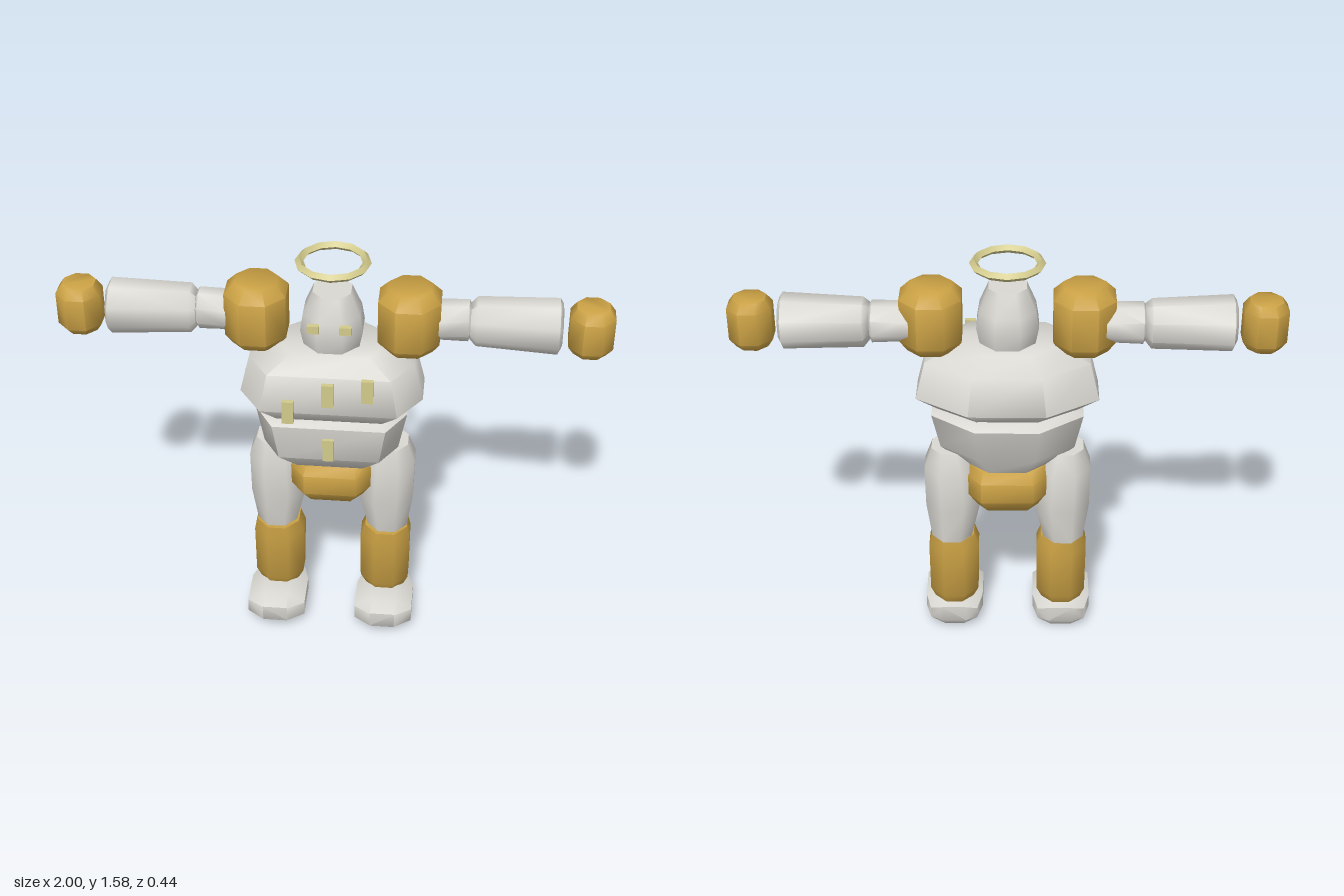
import * as THREE from 'three';
import { toCreasedNormals } from 'three/addons/utils/BufferGeometryUtils.js';

// Eight-cornered unit outline: side = half length of side edges, front/back = half length of end edges
const outline = (side, front, back = front) => [
  [1, side], [front, 1], [-front, 1], [-1, side],
  [-1, -side], [-back, -1], [back, -1], [1, -side],
];
const OCT = outline(0.42, 0.42);
const BOXY = outline(0.95, 0.95);
const TORSO = outline(0.35, 0.74, 0.42);

// Skin rings [t, uMin, uMax, vMin, vMax, outline?] along an axis; mirror = -1 builds the other side
function loft(rings, { axis = 'y', mirror = 1, shape = OCT, crease = 0.95 } = {}) {
  const place = {
    x: (t, u, v) => [t, u, v],
    y: (t, u, v) => [u, t, v],
    z: (t, u, v) => [u, v, t],
  }[axis];
  const flip = (axis !== 'y') !== (mirror < 0);
  const loops = rings.map(([t, u0, u1, v0, v1, own]) => (own || shape).map(([a, b]) => {
    const p = place(t, (u0 + u1) / 2 + a * (u1 - u0) / 2, (v0 + v1) / 2 + b * (v1 - v0) / 2);
    return [p[0] * mirror, p[1], p[2]];
  }));
  const pos = [];
  const tri = (a, b, c) => pos.push(...a, ...(flip ? c : b), ...(flip ? b : c));
  for (let i = 0; i < loops.length - 1; i++) {
    const lo = loops[i], hi = loops[i + 1];
    for (let j = 0; j < 8; j++) {
      const k = (j + 1) % 8;
      tri(lo[j], hi[j], lo[k]);
      tri(lo[k], hi[j], hi[k]);
    }
  }
  const first = loops[0], last = loops[loops.length - 1];
  for (let j = 1; j < 7; j++) {
    tri(first[0], first[j], first[j + 1]);
    tri(last[0], last[j + 1], last[j]);
  }
  const geo = new THREE.BufferGeometry();
  geo.setAttribute('position', new THREE.Float32BufferAttribute(pos, 3));
  return toCreasedNormals(geo, crease);
}

export function createModel() {
  const model = new THREE.Group();
  const mat = (name, color) => Object.assign(new THREE.MeshStandardMaterial({ color }), { name });
  const shell = mat('pale grey shell', 0xdad8d2);
  const gold = mat('gold armour', 0xc9a044);
  const glow = mat('pale yellow trim', 0xd2ca8c);

  const add = (name, geo, material) => {
    const mesh = new THREE.Mesh(geo, material);
    mesh.name = name;
    model.add(mesh);
    return mesh;
  };
  const plate = (name, x, y, z, w, h, d) =>
    add(name, new THREE.BoxGeometry(w, h, d), glow).position.set(x, y, z);

  // Torso and pelvis
  add('chest', loft([
    [0.99, -0.26, 0.26, -0.16, 0.145],
    [1.045, -0.335, 0.335, -0.217, 0.185],
    [1.19, -0.30, 0.30, -0.197, 0.167],
    [1.255, -0.19, 0.19, -0.14, 0.12],
  ], { shape: TORSO }), shell);
  add('belly', loft([
    [0.757, -0.165, 0.165, -0.135, 0.11],
    [0.825, -0.25, 0.25, -0.165, 0.16],
    [0.972, -0.28, 0.28, -0.206, 0.174],
    [0.995, -0.235, 0.235, -0.17, 0.14],
  ], { shape: TORSO }), shell);
  add('pelvis', loft([
    [0.578, -0.125, 0.125, -0.12, 0.085],
    [0.64, -0.163, 0.163, -0.165, 0.133],
    [0.72, -0.163, 0.163, -0.165, 0.133],
    [0.757, -0.15, 0.15, -0.135, 0.10],
  ], { shape: outline(0.42, 0.6) }), gold);

  // Head, eyes and halo
  add('head', loft([
    [1.25, -0.10, 0.10, -0.105, 0.105],
    [1.315, -0.112, 0.112, -0.12, 0.122],
    [1.38, -0.102, 0.102, -0.112, 0.115],
    [1.465, -0.068, 0.068, -0.075, 0.08],
  ]), shell);
  for (const s of [-1, 1]) plate('eye', s * 0.057, 1.372, 0.132, 0.042, 0.03, 0.02);
  const halo = add('halo',
    toCreasedNormals(new THREE.TorusGeometry(0.12, 0.016, 4, 12).rotateX(Math.PI / 2), 0.6), glow);
  halo.position.set(0, 1.56, -0.018);

  // Trim plates floating ahead of the chest and belly
  plate('chestPlate', -0.142, 1.068, 0.211, 0.042, 0.092, 0.018);
  plate('chestPlate', 0, 1.146, 0.211, 0.042, 0.092, 0.018);
  plate('chestPlate', 0.142, 1.172, 0.211, 0.042, 0.092, 0.018);
  plate('bellyPlate', 0, 0.882, 0.174, 0.042, 0.092, 0.018);

  for (const mirror of [1, -1]) {
    const side = mirror > 0 ? 'left' : 'right';
    const part = (name, rings, material, opts = {}) =>
      add(side + name, loft(rings, { mirror, ...opts }), material);

    // Arm
    part('Shoulder', [
      [1.23, 0.188, 0.362, -0.105, 0.07],
      [1.27, 0.164, 0.386, -0.138, 0.105],
      [1.435, 0.164, 0.386, -0.138, 0.105],
      [1.475, 0.20, 0.35, -0.095, 0.06],
    ], gold);
    part('UpperArm', [
      [0.28, 1.28, 1.395, -0.105, 0.045],
      [0.385, 1.27, 1.405, -0.105, 0.04],
      [0.485, 1.265, 1.408, -0.10, 0.03],
      [0.50, 1.29, 1.385, -0.08, 0.01],
    ], shell, { axis: 'x' });
    part('Forearm', [
      [0.492, 1.275, 1.40, -0.09, 0.03],
      [0.515, 1.25, 1.418, -0.117, 0.045],
      [0.805, 1.24, 1.428, -0.122, 0.068],
      [0.817, 1.262, 1.41, -0.10, 0.045],
    ], shell, { axis: 'x' });
    part('Hand', [
      [1.24, 0.862, 0.978, -0.085, 0.035],
      [1.272, 0.842, 1.0, -0.108, 0.062],
      [1.393, 0.842, 1.0, -0.108, 0.062],
      [1.425, 0.862, 0.978, -0.085, 0.035],
    ], gold);

    // Leg
    part('Thigh', [
      [0.42, 0.138, 0.29, -0.11, 0.062],
      [0.565, 0.105, 0.31, -0.122, 0.083],
      [0.73, 0.112, 0.313, -0.122, 0.08],
      [0.81, 0.15, 0.285, -0.095, 0.062],
    ], shell);
    part('Shin', [
      [0.12, 0.135, 0.285, -0.09, 0.055],
      [0.165, 0.115, 0.302, -0.113, 0.078],
      [0.37, 0.112, 0.304, -0.113, 0.08],
      [0.42, 0.13, 0.292, -0.108, 0.078],
    ], gold);
    part('Foot', [
      [-0.108, 0.163, 0.26, 0.04, 0.105, BOXY],
      [-0.085, 0.12, 0.303, 0.008, 0.115],
      [-0.01, 0.10, 0.324, 0.003, 0.132],
      [0.14, 0.10, 0.324, 0, 0.134],
      [0.188, 0.163, 0.26, 0.04, 0.105, BOXY],
    ], shell, { axis: 'z' });
  }
  return model;
}
